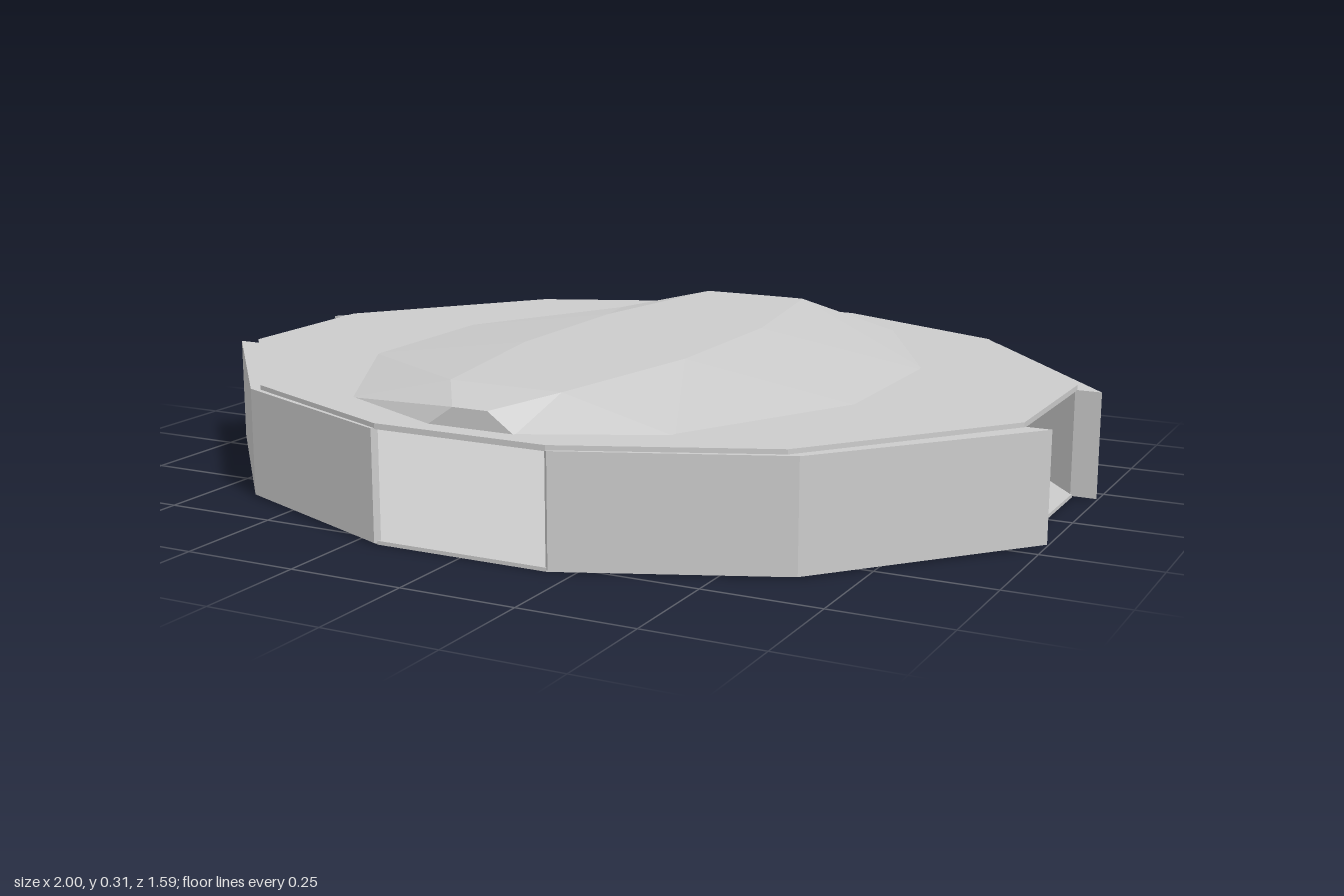
import * as THREE from 'three';

const material = new THREE.MeshStandardMaterial({ color: 0xcccccc, flatShading: true, side: THREE.DoubleSide });

// Extrude a plan outline of [x, z] points upward from y0 to y1
function slab(name, points, y0, y1) {
  const shape = new THREE.Shape(points.map(([x, z]) => new THREE.Vector2(x, -z)));
  const geometry = new THREE.ExtrudeGeometry(shape, { depth: y1 - y0, bevelEnabled: false });
  geometry.rotateX(-Math.PI / 2).translate(0, y0, 0);
  const mesh = new THREE.Mesh(geometry, material);
  mesh.name = name;
  return mesh;
}

// Faceted dome lofted through four-point cross-sections: [z, base half width, top half width, top y]
function domeGeometry(baseY) {
  const sections = [
    [-0.72, 0.1, 0.04, 0.29], [-0.61, 0.38, 0.13, 0.31], [-0.2, 0.6, 0.2, 0.31],
    [0.2, 0.6, 0.2, 0.31], [0.61, 0.38, 0.13, 0.31], [0.745, 0.1, 0.04, 0.29],
  ];
  const positions = [];
  const index = [];
  for (const [z, base, top, y] of sections) {
    positions.push(-base, baseY, z, -top, y, z, top, y, z, base, baseY, z);
  }
  for (let s = 0; s < sections.length - 1; s++) {
    for (let i = 0; i < 3; i++) {
      const a = s * 4 + i, b = a + 4;
      index.push(a, b, b + 1, a, b + 1, a + 1);
    }
  }
  // End caps
  const e = (sections.length - 1) * 4;
  index.push(0, 1, 2, 0, 2, 3, e, e + 2, e + 1, e, e + 3, e + 2);
  const geometry = new THREE.BufferGeometry();
  geometry.setAttribute('position', new THREE.Float32BufferAttribute(positions, 3));
  geometry.setIndex(index);
  const flat = geometry.toNonIndexed();
  flat.computeVertexNormals();
  return flat;
}

export function createModel() {
  const group = new THREE.Group();
  group.name = 'pavilion';

  // Twelve-sided floor and roof plates
  const quarter = [[0.945, 0.195], [0.615, 0.61], [0.195, 0.79]];
  const outline = [
    ...quarter,
    ...quarter.map(([x, z]) => [-x, z]).reverse(),
    ...quarter.map(([x, z]) => [-x, -z]),
    ...quarter.map(([x, z]) => [x, -z]).reverse(),
  ];
  group.add(slab('floor', outline, 0, 0.008));
  group.add(slab('roof', outline, 0.238, 0.25));

  // Four corner walls, leaving an opening on every side
  const wall = [[1, 0.19], [0.64, 0.612], [0.2, 0.795], [0.19, 0.785], [0.612, 0.605], [0.942, 0.19]];
  for (const sx of [1, -1]) {
    for (const sz of [1, -1]) {
      const name = (sz > 0 ? 'front' : 'back') + (sx > 0 ? 'Left' : 'Right') + 'Wall';
      group.add(slab(name, wall.map(([x, z]) => [x * sx, z * sz]), 0.004, 0.24));
    }
  }

  // Low dome on the roof
  const dome = new THREE.Mesh(domeGeometry(0.248), material);
  dome.name = 'dome';
  group.add(dome);

  return group;
}
